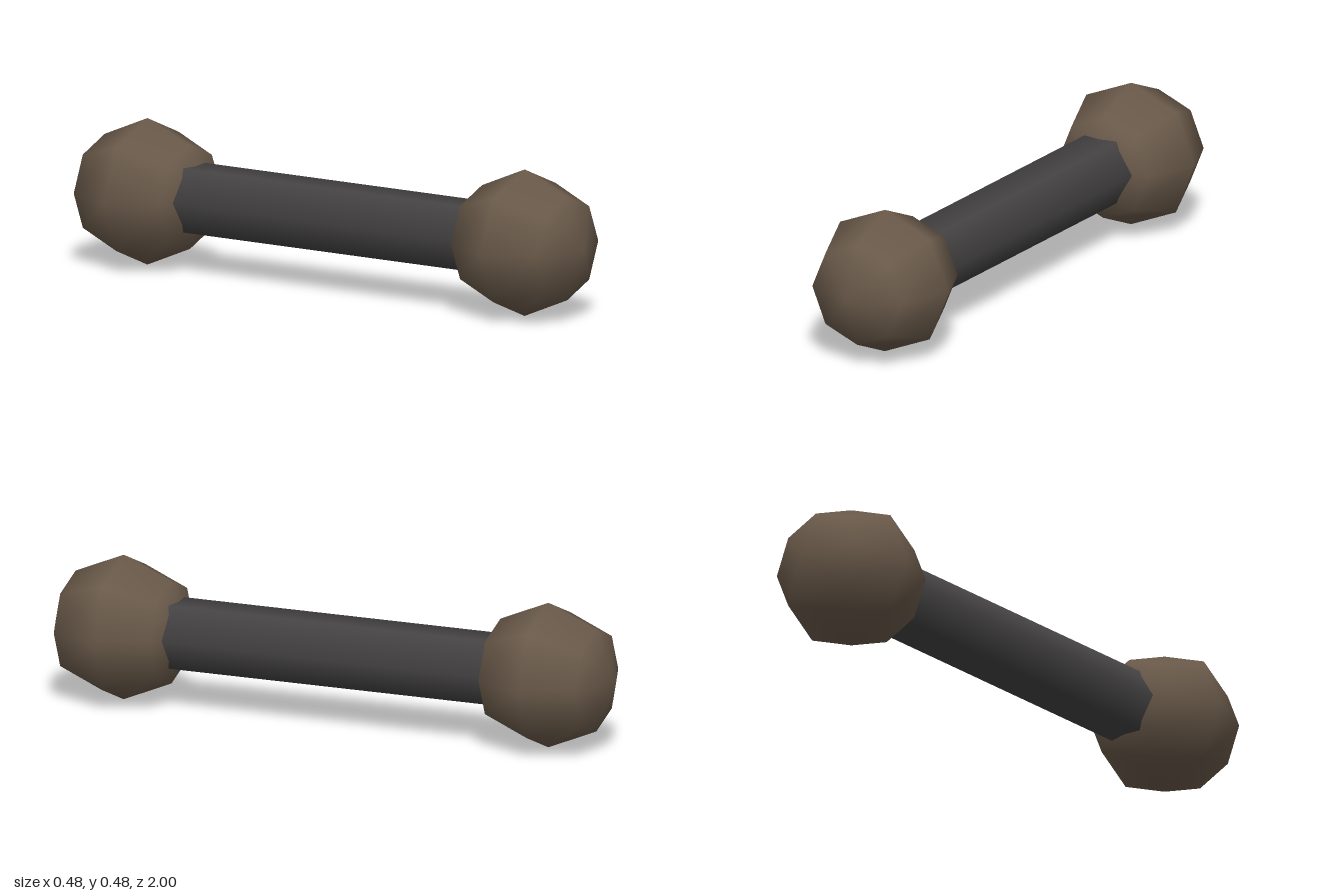
import * as THREE from 'three';

const BALL_RADIUS = 0.242;
const BALL_OFFSET = 0.758;
const BAR_RADIUS = 0.122;

export function createModel() {
  const brown = new THREE.MeshStandardMaterial({ color: 0x6a5a4a });
  brown.name = 'brown';
  const charcoal = new THREE.MeshStandardMaterial({ color: 0x444242 });
  charcoal.name = 'charcoal';

  const model = new THREE.Group();
  model.name = 'barbell';

  // Hexagonal bar along z, with corners to the left and right
  const barGeometry = new THREE.CylinderGeometry(BAR_RADIUS, BAR_RADIUS, BALL_OFFSET * 2, 6);
  barGeometry.rotateY(Math.PI / 6).rotateX(Math.PI / 2);
  const bar = new THREE.Mesh(barGeometry, charcoal);
  bar.name = 'bar';
  bar.position.y = BALL_RADIUS;
  model.add(bar);

  // Low-poly ball at each end, poles along the bar
  const ballGeometry = new THREE.SphereGeometry(BALL_RADIUS, 8, 4).rotateX(Math.PI / 2);
  for (const side of [1, -1]) {
    const ball = new THREE.Mesh(ballGeometry, brown);
    ball.name = side > 0 ? 'frontBall' : 'backBall';
    ball.position.set(0, BALL_RADIUS, side * BALL_OFFSET);
    model.add(ball);
  }

  return model;
}
